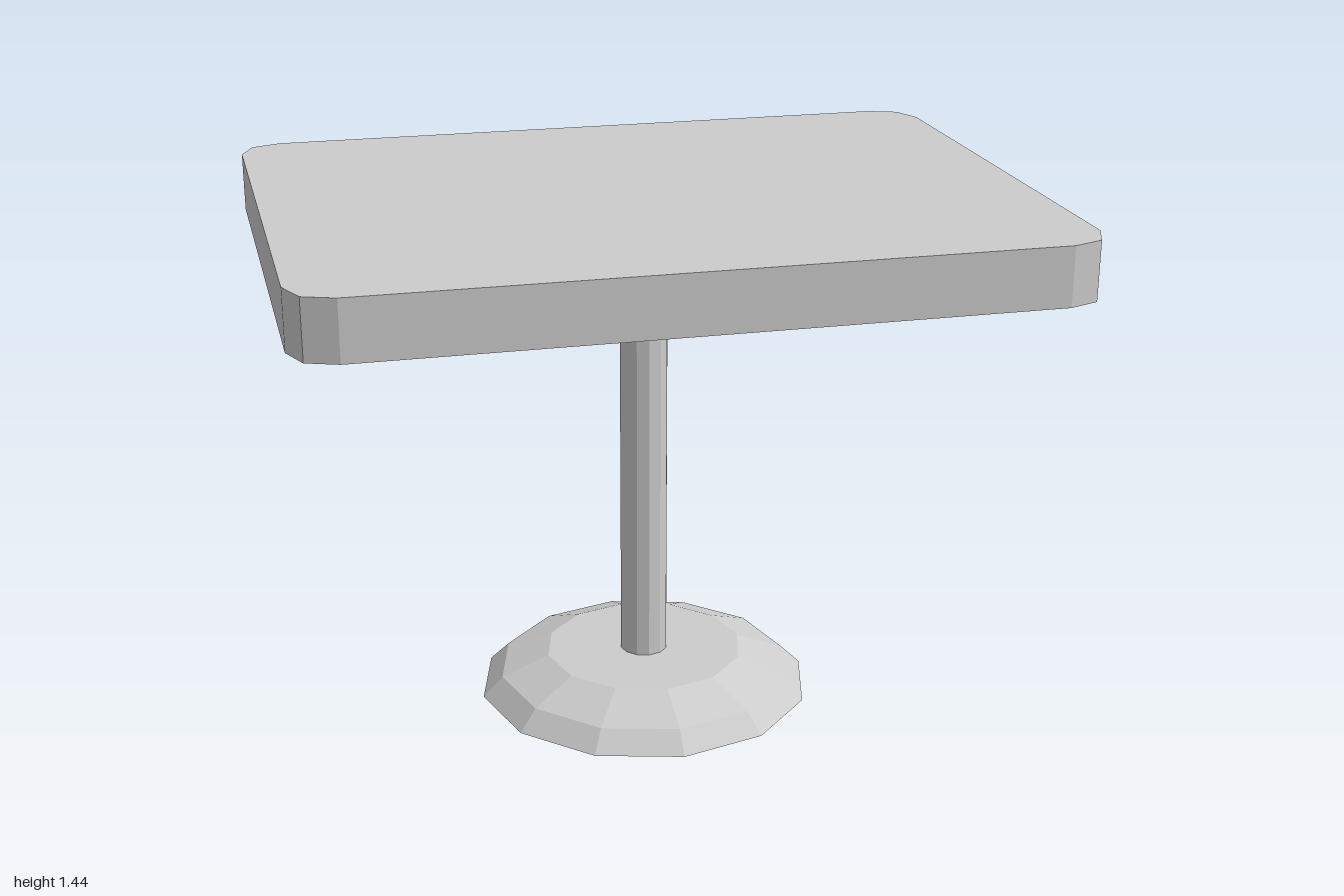
import * as THREE from 'three';

export function createModel() {
  const model = new THREE.Group();
  model.name = 'pedestalTable';

  const grey = new THREE.MeshStandardMaterial({ color: 0xcccccc, flatShading: true, side: THREE.DoubleSide });
  grey.name = 'light grey';

  const add = (name, geometry, y) => {
    const mesh = new THREE.Mesh(geometry, grey);
    mesh.name = name;
    mesh.position.y = y;
    model.add(mesh);
  };

  // Table top: rectangle with two-facet corners, mirrored into all quadrants
  const corner = [[1, 0.645], [0.966, 0.727], [0.885, 0.757]];
  const flip = [...corner].reverse();
  const outline = [
    ...corner,
    ...flip.map(([x, z]) => [-x, z]),
    ...corner.map(([x, z]) => [-x, -z]),
    ...flip.map(([x, z]) => [x, -z]),
  ].map(([x, z]) => new THREE.Vector2(x, z));
  const top = new THREE.ExtrudeGeometry(new THREE.Shape(outline), { depth: 0.157, bevelEnabled: false });
  top.rotateX(-Math.PI / 2);
  add('tableTop', top, 1.283);

  // Twelve-sided column between the base and the top
  const baseHeight = 0.108;
  const columnHeight = 1.283 - baseHeight;
  add('column', new THREE.CylinderGeometry(0.066, 0.066, columnHeight, 12, 1, true), baseHeight + columnHeight / 2);

  // Base: hollow, faceted dish, open underneath
  const profile = [[0.465, 0], [0.41, 0.055], [0.277, baseHeight], [0, baseHeight]]
    .map(([r, y]) => new THREE.Vector2(r, y));
  add('base', new THREE.LatheGeometry(profile, 12), 0);

  return model;
}
